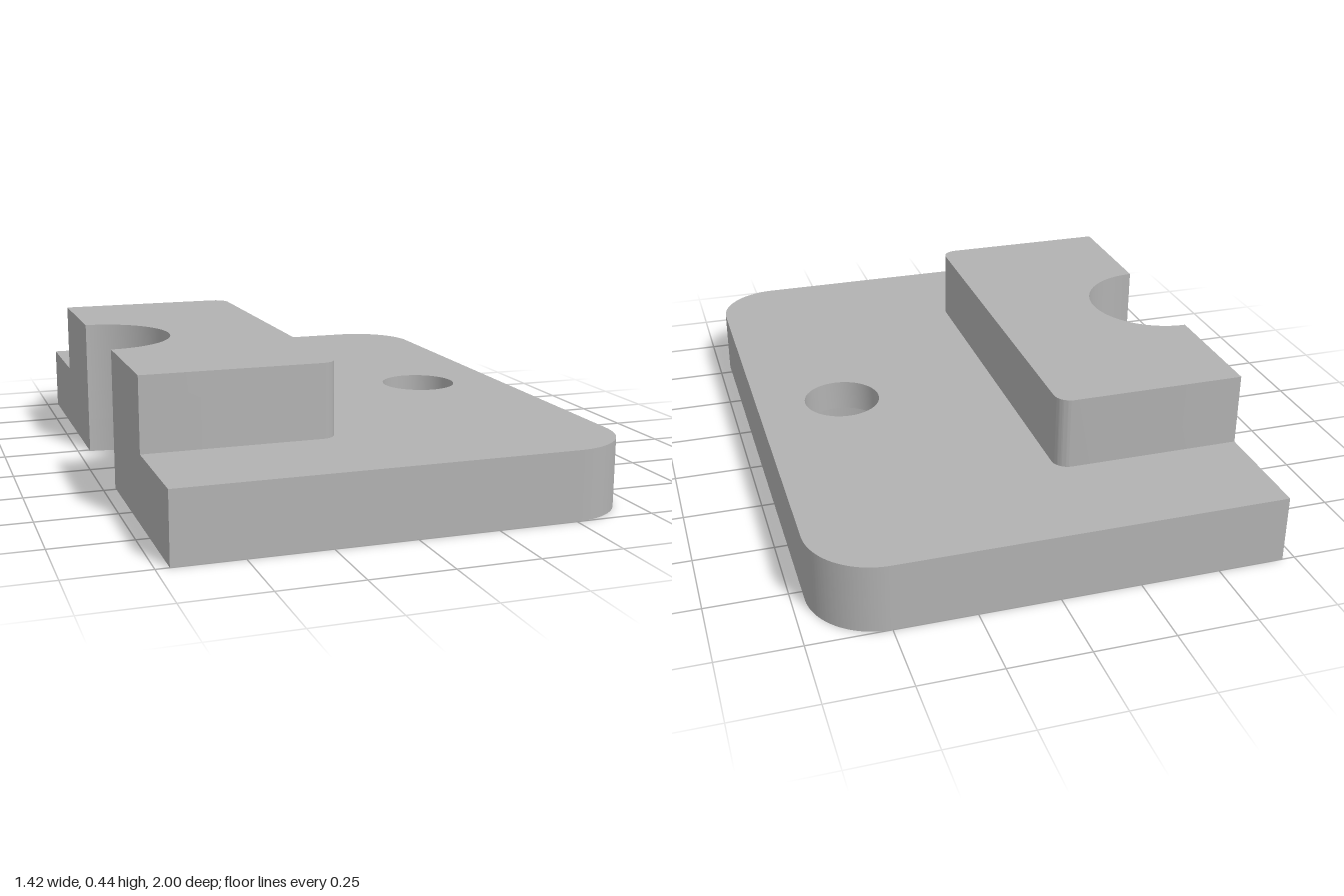
import * as THREE from 'three';
import { toCreasedNormals } from 'three/addons/utils/BufferGeometryUtils.js';

const LEFT = -0.71;
const NOTCH_RADIUS = 0.235;
const HOLE_X = 0.425;

// Plate outline: rounded corners on +x, half-round notch in the -x edge
function plateShape(right, halfDepth, corner, holeRadius) {
  const s = new THREE.Shape();
  s.moveTo(LEFT, -halfDepth);
  s.lineTo(right - corner, -halfDepth);
  s.absarc(right - corner, -halfDepth + corner, corner, -Math.PI / 2, 0, false);
  s.lineTo(right, halfDepth - corner);
  s.absarc(right - corner, halfDepth - corner, corner, 0, Math.PI / 2, false);
  s.lineTo(LEFT, halfDepth);
  s.lineTo(LEFT, NOTCH_RADIUS);
  s.absarc(LEFT, 0, NOTCH_RADIUS, Math.PI / 2, -Math.PI / 2, true);
  s.closePath();
  if (holeRadius) {
    const hole = new THREE.Path();
    hole.absarc(HOLE_X, 0, holeRadius, 0, Math.PI * 2, true);
    s.holes.push(hole);
  }
  return s;
}

export function createModel() {
  const model = new THREE.Group();
  model.name = 'steppedMountingPlate';
  const grey = new THREE.MeshStandardMaterial({ color: 0xb2b2b2 });
  grey.name = 'grey';

  function addLayer(name, shape, bottom, top) {
    const flat = new THREE.ExtrudeGeometry(shape, {
      depth: top - bottom, bevelEnabled: false, curveSegments: 32,
    });
    flat.rotateX(-Math.PI / 2);
    flat.translate(0, bottom, 0);
    const mesh = new THREE.Mesh(toCreasedNormals(flat, Math.PI / 6), grey);
    mesh.name = name;
    model.add(mesh);
  }

  // Base plate: wide counterbore below, narrow through hole above
  addLayer('basePlateCounterbore', plateShape(0.71, 1, 0.21, 0.23), 0, 0.115);
  addLayer('basePlateTop', plateShape(0.71, 1, 0.21, 0.125), 0.115, 0.215);
  // Raised block sharing the notch
  addLayer('raisedBlock', plateShape(-0.11, 0.643, 0.05, 0), 0.215, 0.445);

  return model;
}
